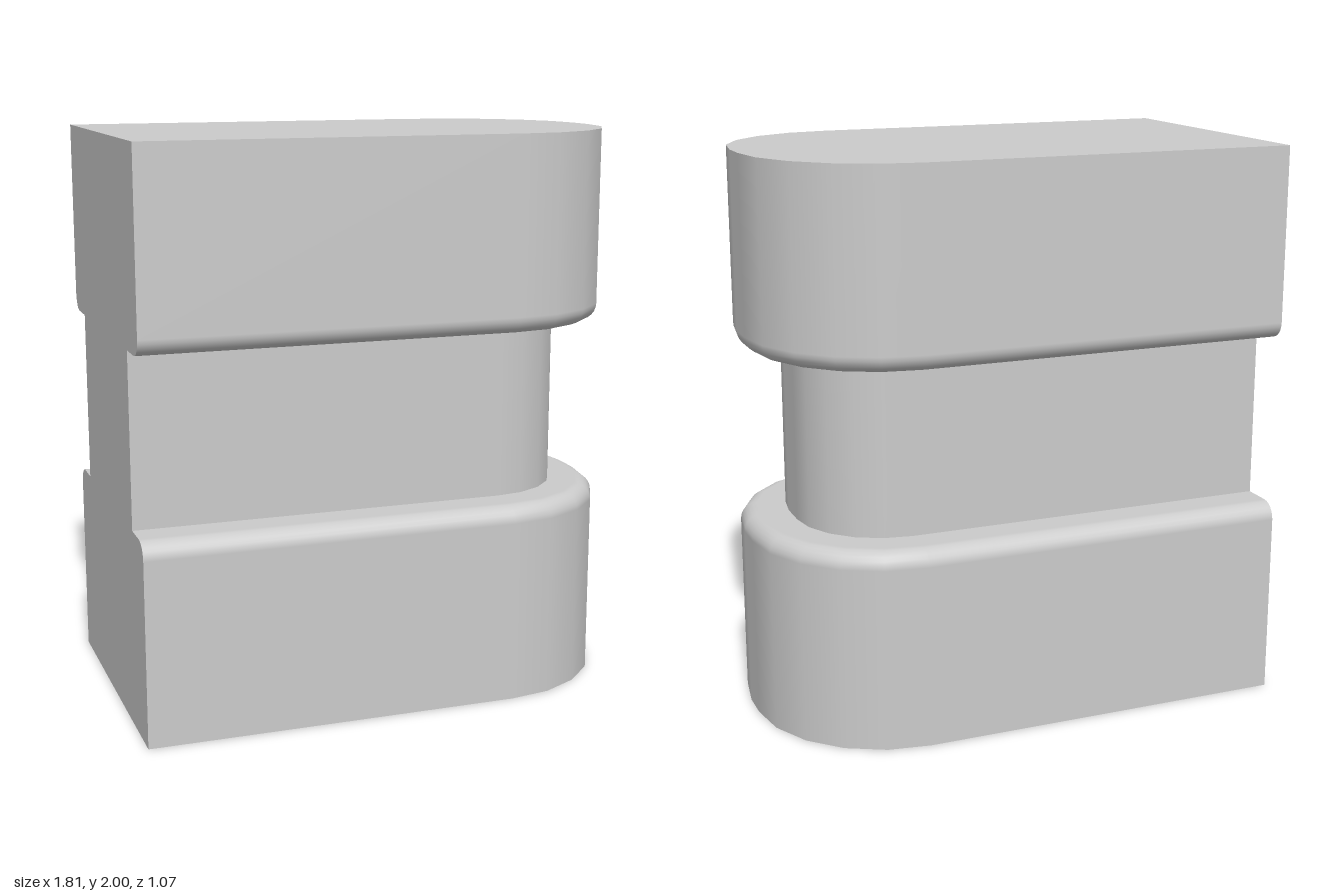
import * as THREE from 'three';

const BACK = -0.905;   // flat end
const CX = 0.42;       // centre of the rounded corners
const CZ = 0.055;
const R = 0.482;       // corner radius of the outer outline
const INSET = 0.163;   // depth of the groove
const FILLET = 0.06;
const LOW = 0.71, HIGH = 1.32, TOP = 2;

// Outline from the front of the flat end, round the nose, to its rear: centre and outward direction
function outline() {
  const path = [[BACK, CZ, 0, 1]];
  for (const side of [1, -1]) {
    for (let i = 0; i <= 5; i++) {
      const a = (side > 0 ? 5 - i : i) * Math.PI / 10;
      path.push([CX, side * CZ, Math.cos(a), side * Math.sin(a)]);
    }
  }
  path.push([BACK, -CZ, 0, -1]);
  return path;
}
const PATH = outline();

// Rounded edge as [inset, y, tilt of normal]; dir 1 rounds upwards, -1 downwards
function fillet(y, dir) {
  const pts = [];
  for (let i = 0; i <= 6; i++) {
    const a = i / 6 * Math.PI / 2;
    pts.push([FILLET * (1 - Math.cos(a)), y + dir * FILLET * (Math.sin(a) - 1), dir * a]);
  }
  return pts;
}

const PROFILES = {
  lowerBlock: [[0, 0, 0], ...fillet(LOW, 1), [INSET, LOW, Math.PI / 2]],
  waist: [[INSET, LOW, 0], [INSET, HIGH, 0]],
  upperBlock: [[INSET, HIGH, -Math.PI / 2], ...fillet(HIGH, -1).reverse(), [0, TOP, 0]],
};

// Sweep a profile along the outline with smooth normals
function sweep(profile) {
  const pos = [], nor = [], idx = [], n = PATH.length;
  profile.forEach(([inset, y, tilt], j) => {
    PATH.forEach(([cx, cz, dx, dz], i) => {
      pos.push(cx + dx * (R - inset), y, cz + dz * (R - inset));
      nor.push(dx * Math.cos(tilt), Math.sin(tilt), dz * Math.cos(tilt));
      if (j && i) {
        const d = j * n + i, c = d - 1, b = d - n, a = b - 1;
        idx.push(a, b, d, a, d, c);
      }
    });
  });
  const g = new THREE.BufferGeometry();
  g.setAttribute('position', new THREE.Float32BufferAttribute(pos, 3));
  g.setAttribute('normal', new THREE.Float32BufferAttribute(nor, 3));
  g.setIndex(idx);
  return g;
}

export function createModel() {
  const group = new THREE.Group();
  const material = new THREE.MeshStandardMaterial({ color: 0xcccccc });
  const add = (name, geometry) => {
    const mesh = new THREE.Mesh(geometry, material);
    mesh.name = name;
    group.add(mesh);
  };

  // Side walls
  for (const name in PROFILES) add(name, sweep(PROFILES[name]));

  // Top and bottom faces
  const plan = new THREE.Shape(PATH.map(([cx, cz, dx, dz]) => new THREE.Vector2(cx + dx * R, cz + dz * R)));
  add('topFace', new THREE.ShapeGeometry(plan).rotateX(-Math.PI / 2).translate(0, TOP, 0));
  add('bottomFace', new THREE.ShapeGeometry(plan).rotateX(Math.PI / 2));

  // Flat end, cut straight through the profile
  const half = [...PROFILES.lowerBlock, ...PROFILES.upperBlock];
  const point = (s) => ([inset, y]) => new THREE.Vector2(s * (CZ + R - inset), y);
  const section = new THREE.Shape([...half.map(point(1)), ...half.map(point(-1)).reverse()]);
  add('flatEnd', new THREE.ShapeGeometry(section).rotateY(-Math.PI / 2).translate(BACK, 0, 0));

  return group;
}
